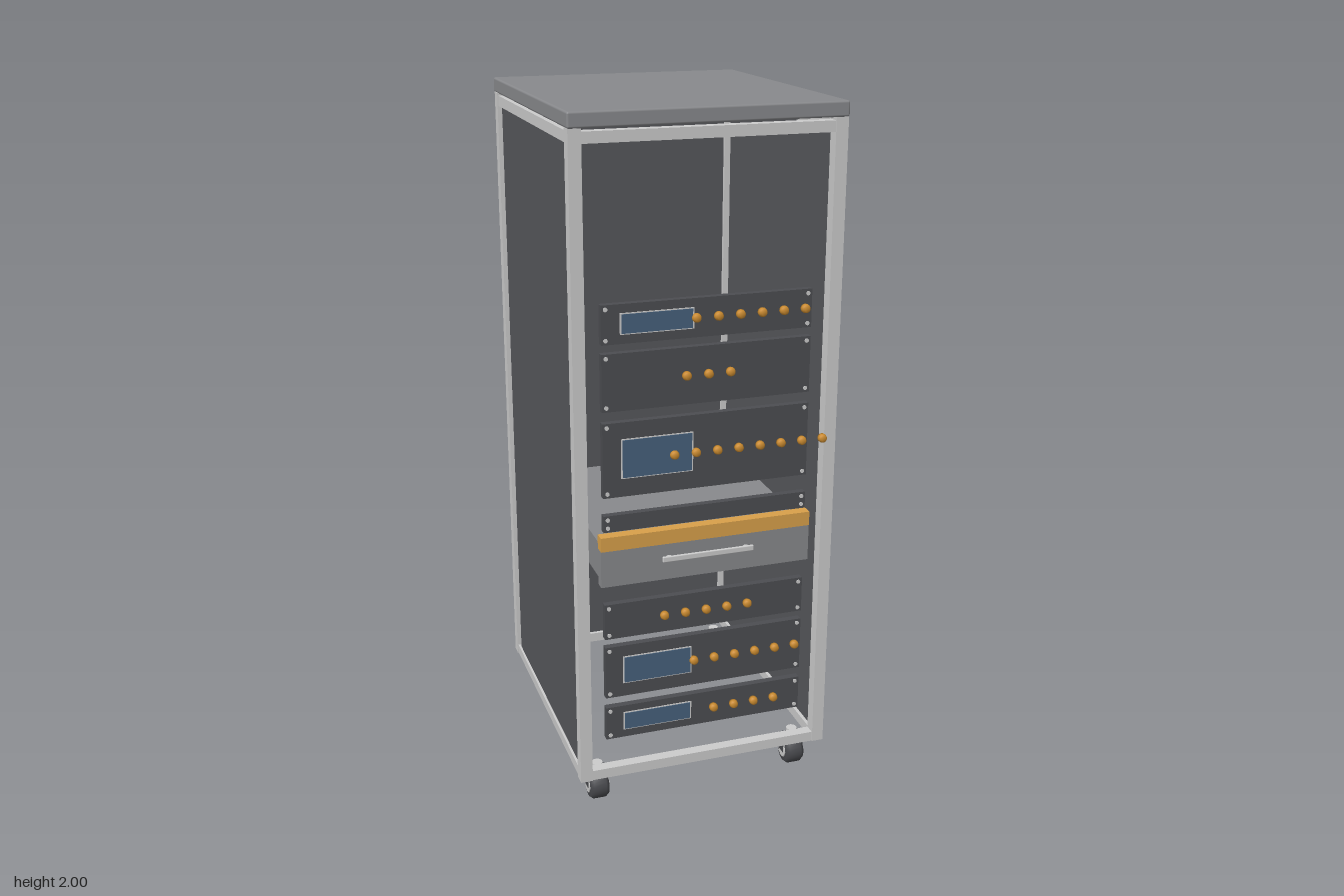
import * as THREE from 'three';
import { RoundedBoxGeometry } from 'three/addons/geometries/RoundedBoxGeometry.js';

const mat = (color) => new THREE.MeshStandardMaterial({ color });
const frameMat = mat(0xcccccc), lidMat = mat(0x88898c), panelMat = mat(0x56575b);
const unitMat = mat(0x4c4d51), rubberMat = mat(0x48494d), knobMat = mat(0xc98a30);
const screenMat = mat(0x46617c), woodMat = mat(0xd8a04a);

function add(parent, name, geometry, material, x = 0, y = 0, z = 0) {
  const mesh = new THREE.Mesh(geometry, material);
  mesh.name = name;
  mesh.position.set(x, y, z);
  parent.add(mesh);
  return mesh;
}

// Box given by its minimum and maximum corners
function box(parent, name, material, [x0, y0, z0], [x1, y1, z1]) {
  return add(parent, name, new THREE.BoxGeometry(x1 - x0, y1 - y0, z1 - z0), material,
    (x0 + x1) / 2, (y0 + y1) / 2, (z0 + z1) / 2);
}

// Overall cabinet extents and profile thickness
const W = 0.377, ZF = 0.417, ZB = -0.435, Y0 = 0.105, Y1 = 1.958, T = 0.035, R = 0.03;
const FACE = 0.412; // front plane of the rack units

function buildFrame() {
  const g = new THREE.Group();
  g.name = 'frame';
  for (const s of [-1, 1]) {
    const xa = Math.min(s * W, s * (W - T)), xb = Math.max(s * W, s * (W - T));
    for (const [za, zb] of [[ZF - T, ZF], [ZB, ZB + T]])
      box(g, 'cornerPost', frameMat, [xa, Y0, za], [xb, Y1, zb]);
    for (const [ya, yb] of [[Y0, Y0 + R], [1.92, 1.95]])
      box(g, 'sideRail', frameMat, [xa + 0.003, ya, ZB + T], [xb - 0.003, yb, ZF - T]);
  }
  for (const [ya, yb] of [[Y0, Y0 + R], [1.92, 1.95]])
    for (const [za, zb] of [[ZF - T, ZF - 0.003], [ZB + 0.003, ZB + T]])
      box(g, 'crossRail', frameMat, [T - W, ya, za], [W - T, yb, zb]);
  return g;
}

function buildPanels() {
  const g = new THREE.Group();
  g.name = 'panels';
  for (const s of [-1, 1])
    add(g, 'sidePanel', new THREE.BoxGeometry(0.012, 1.785, 0.755), panelMat, s * 0.361, 1.0275, -0.0085);
  box(g, 'backPanel', panelMat, [T - W, 0.135, -0.424], [W - T, 1.92, -0.412]);
  return g;
}

// Knob profile turned about the z axis
const knobGeo = new THREE.LatheGeometry(
  [[0, 0], [0.012, 0], [0.013, 0.008], [0.011, 0.015], [0.007, 0.019], [0, 0.019]]
    .map(([r, h]) => new THREE.Vector2(r, h)), 14).rotateX(Math.PI / 2);
const screwGeo = new THREE.CylinderGeometry(0.006, 0.006, 0.003, 10).rotateX(Math.PI / 2);

// Thin rack front with corner screws, optional display and a row of knobs
function buildUnit({ y0, y1, screen, knobs }) {
  const g = new THREE.Group();
  g.name = 'rackUnit';
  box(g, 'facePlate', unitMat, [-0.298, y0, FACE - 0.02], [0.293, y1, FACE]);
  for (const x of [-0.286, 0.281])
    for (const y of [y0 + 0.012, y1 - 0.012]) add(g, 'screw', screwGeo, frameMat, x, y, FACE + 0.001);
  if (screen) {
    const [s0, s1] = screen;
    box(g, 'screenBezel', frameMat, [-0.247, s0 - 0.003, FACE - 0.002], [-0.043, s1 + 0.003, FACE + 0.002]);
    box(g, 'screen', screenMat, [-0.243, s0, FACE], [-0.047, s1, FACE + 0.004]);
  }
  if (knobs) {
    const [count, x, y] = knobs;
    for (let i = 0; i < count; i++) add(g, 'knob', knobGeo, knobMat, x + i * 0.062, y, FACE);
  }
  return g;
}

function buildDrawer() {
  const g = new THREE.Group();
  g.name = 'drawer';
  box(g, 'drawerBody', lidMat, [-0.3, 0.72, -0.2], [0.295, 0.825, FACE - 0.02]);
  box(g, 'drawerFront', lidMat, [-0.309, 0.713, FACE - 0.022], [0.304, 0.82, 0.42]);
  box(g, 'worktopEdge', woodMat, [-0.309, 0.82, FACE - 0.022], [0.304, 0.861, 0.422]);
  // Bar handle on two short standoffs
  add(g, 'handle', new RoundedBoxGeometry(0.268, 0.017, 0.008, 2, 0.003), frameMat, -0.002, 0.779, 0.432);
  for (const x of [-0.115, 0.111])
    add(g, 'handlePost', new THREE.BoxGeometry(0.012, 0.012, 0.014), frameMat, x, 0.779, 0.424);
  return g;
}

function buildCaster(x, z) {
  const g = new THREE.Group();
  g.name = 'caster';
  g.position.set(x, 0, z);
  const disc = (r, w, n) => new THREE.CylinderGeometry(r, r, w, n).rotateZ(Math.PI / 2);
  // Tread with rounded shoulders
  const tread = [[0, -0.028], [0.034, -0.028], [0.042, -0.018], [0.042, 0.018], [0.034, 0.028], [0, 0.028]];
  add(g, 'wheel', new THREE.LatheGeometry(tread.map(([r, h]) => new THREE.Vector2(r, h)), 24)
    .rotateZ(Math.PI / 2), rubberMat, 0, 0.042, 0);
  add(g, 'hub', disc(0.025, 0.062, 8), frameMat, 0, 0.045, 0);
  // Fork crown and swivel stem
  add(g, 'forkCrown', new THREE.BoxGeometry(0.062, 0.012, 0.04), rubberMat, 0, 0.088, 0);
  for (const s of [-1, 1])
    add(g, 'forkArm', new THREE.BoxGeometry(0.005, 0.05, 0.03), rubberMat, s * 0.0295, 0.065, 0);
  add(g, 'stem', new THREE.CylinderGeometry(0.016, 0.016, 0.03, 16), frameMat, 0, 0.1, 0);
  return g;
}

export function createModel() {
  const model = new THREE.Group();
  model.name = 'rackCabinet';
  model.add(buildFrame(), buildPanels());

  add(model, 'lid', new RoundedBoxGeometry(0.758, 0.042, 0.858, 2, 0.006), lidMat, 0, 1.979, -0.009);

  // Rack units from top to bottom
  const units = [
    { y0: 1.4, y1: 1.507, screen: [1.428, 1.48], knobs: [6, -0.038, 1.455] },
    { y0: 1.216, y1: 1.375, knobs: [3, -0.064, 1.298] },
    { y0: 0.972, y1: 1.184, screen: [1.027, 1.134], knobs: [8, -0.098, 1.078] },
    { y0: 0.872, y1: 0.92 },
    { y0: 0.548, y1: 0.654, knobs: [5, -0.126, 0.601] },
    { y0: 0.363, y1: 0.522, screen: [0.407, 0.485], knobs: [6, -0.038, 0.445] },
    { y0: 0.23, y1: 0.331, screen: [0.257, 0.307], knobs: [4, 0.024, 0.281] },
  ];
  for (const u of units) model.add(buildUnit(u));
  model.add(buildDrawer());

  for (const x of [-0.308, 0.308])
    for (const z of [0.339, -0.354]) model.add(buildCaster(x, z));
  return model;
}
